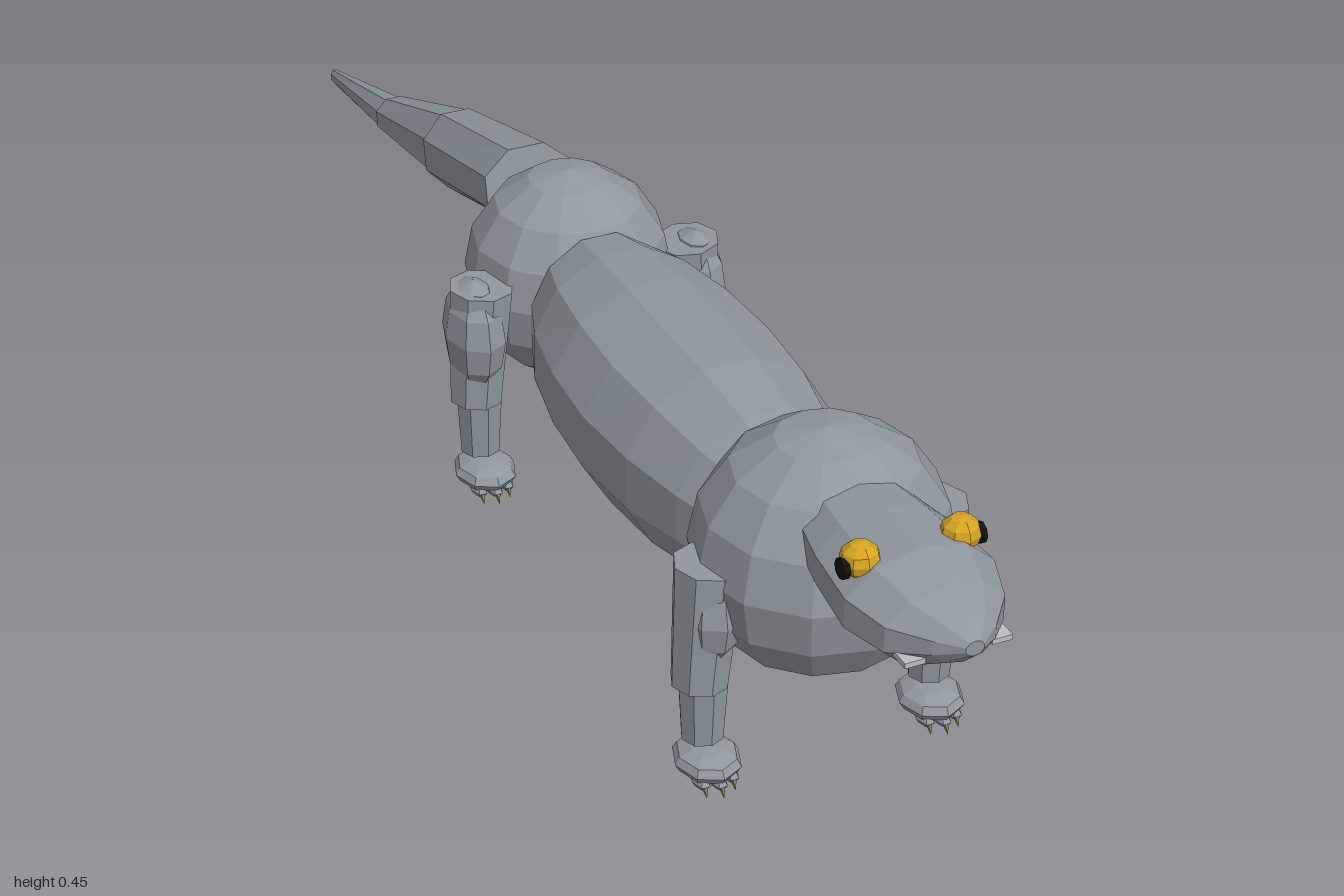
import * as THREE from 'three';

const flat = (name, color) => {
  const m = new THREE.MeshStandardMaterial({ color, flatShading: true });
  m.name = name;
  return m;
};

export function createModel() {
  const skin = flat('grey skin', 0x8f979e);
  const gold = flat('golden eye', 0xd6a422);
  const black = flat('black pupil', 0x111111);
  const tan = flat('tan claw', 0x8c7f5c);
  const pale = flat('pale nostril', 0xb9c0c4);
  const model = new THREE.Group();
  model.name = 'lizard';

  function add(parent, name, geometry, material, x = 0, y = 0, z = 0) {
    const mesh = new THREE.Mesh(geometry, material);
    mesh.name = name;
    mesh.position.set(x, y, z);
    parent.add(mesh);
    return mesh;
  }

  // Faceted ellipsoid
  const ball = (rx, ry, rz, w = 12, h = 8) => new THREE.SphereGeometry(1, w, h).scale(rx, ry, rz);

  // Skin over elliptical rings [z, centre y, half width, half height], back to front; lean slants the rings
  function loft(rings, n, lean = 0) {
    const pos = [];
    const point = ([z, y, rx, ry], j) => {
      const a = ((j + 0.5) / n) * Math.PI * 2;
      const dy = Math.sin(a) * ry;
      return [Math.cos(a) * rx, y + dy, z + dy * lean];
    };
    const last = rings.length - 1;
    for (let j = 0; j < n; j++) {
      for (let i = 0; i < last; i++) {
        const a = point(rings[i], j), b = point(rings[i], j + 1);
        const c = point(rings[i + 1], j), d = point(rings[i + 1], j + 1);
        pos.push(...a, ...b, ...c, ...b, ...d, ...c);
      }
      const s = rings[0], e = rings[last];
      pos.push(0, s[1], s[0], ...point(s, j + 1), ...point(s, j));
      pos.push(0, e[1], e[0], ...point(e, j), ...point(e, j + 1));
    }
    const g = new THREE.BufferGeometry();
    g.setAttribute('position', new THREE.Float32BufferAttribute(pos, 3));
    g.computeVertexNormals();
    return g;
  }

  // Trunk
  add(model, 'shoulders', ball(0.163, 0.163, 0.155), skin, 0, 0.293, 0.635);
  add(model, 'hips', ball(0.14, 0.149, 0.138), skin, 0, 0.271, -0.11);
  add(model, 'belly', loft([
    [-0.01, 0.26, 0.10, 0.115], [0.06, 0.257, 0.127, 0.133], [0.16, 0.257, 0.146, 0.142],
    [0.27, 0.257, 0.153, 0.145], [0.38, 0.26, 0.144, 0.141], [0.48, 0.263, 0.122, 0.126],
    [0.54, 0.265, 0.10, 0.11],
  ], 12), skin);

  // Tail, three tapering segments
  [
    [[-0.495, 0.26, 0.056, 0.058], [-0.24, 0.333, 0.068, 0.056]],
    [[-0.745, 0.19, 0.031, 0.029], [-0.495, 0.26, 0.052, 0.056]],
    [[-0.998, 0.134, 0.007, 0.011], [-0.74, 0.19, 0.028, 0.028]],
  ].forEach((rings, i) => add(model, 'tailSegment' + (i + 1), loft(rings, 8, -0.2), skin));

  // Head
  add(model, 'head', loft([
    [0.70, 0.375, 0.074, 0.05], [0.78, 0.373, 0.091, 0.058], [0.87, 0.371, 0.1, 0.063],
    [0.93, 0.368, 0.08, 0.054], [0.975, 0.376, 0.042, 0.03], [0.999, 0.38, 0.012, 0.01],
  ], 10), skin);

  for (const [side, s] of [['left', 1], ['right', -1]]) {
    add(model, side + 'Eye', ball(0.025, 0.023, 0.024, 8, 6), gold, s * 0.064, 0.421, 0.845);
    const pupil = add(model, side + 'Pupil', new THREE.CylinderGeometry(0.013, 0.013, 0.008, 8), black,
      s * 0.087, 0.416, 0.848);
    pupil.rotation.z = Math.PI / 2;
    add(model, side + 'Nostril', new THREE.BoxGeometry(0.026, 0.007, 0.03), pale, s * 0.055, 0.353, 0.95);

    // Legs
    for (const [end, z, thighX, rx, ry, rz] of [
      ['Front', 0.635, 0.148, 0.038, 0.07, 0.052],
      ['Hind', -0.055, 0.16, 0.04, 0.08, 0.058],
    ]) {
      const leg = new THREE.Group();
      leg.name = side + end + 'Leg';
      model.add(leg);
      add(leg, 'thigh', ball(rx, ry, rz, 8, 6), skin, s * thighX, 0.24, z);
      const upper = add(leg, 'upperLeg', new THREE.CylinderGeometry(0.044, 0.036, 0.17, 8), skin,
        s * 0.154, 0.223, z);
      upper.rotation.z = s * 0.06;
      add(leg, 'lowerLeg', new THREE.CylinderGeometry(0.032, 0.027, 0.085, 8), skin, s * 0.154, 0.1, z);
      add(leg, 'foot', ball(0.042, 0.02, 0.05, 8, 6), skin, s * 0.152, 0.029, z + 0.01);
      // Toes and claws
      for (const t of [-1, 0, 1]) {
        const x = s * 0.152 + t * 0.019;
        const tz = z + 0.04 - Math.abs(t) * 0.008;
        add(leg, 'toe', ball(0.011, 0.009, 0.02, 6, 4), skin, x, 0.016, tz);
        const claw = add(leg, 'claw', new THREE.ConeGeometry(0.005, 0.016, 5), tan, x, 0.0085, tz + 0.016);
        claw.rotation.x = Math.PI * 0.85;
      }
    }
  }
  return model;
}
